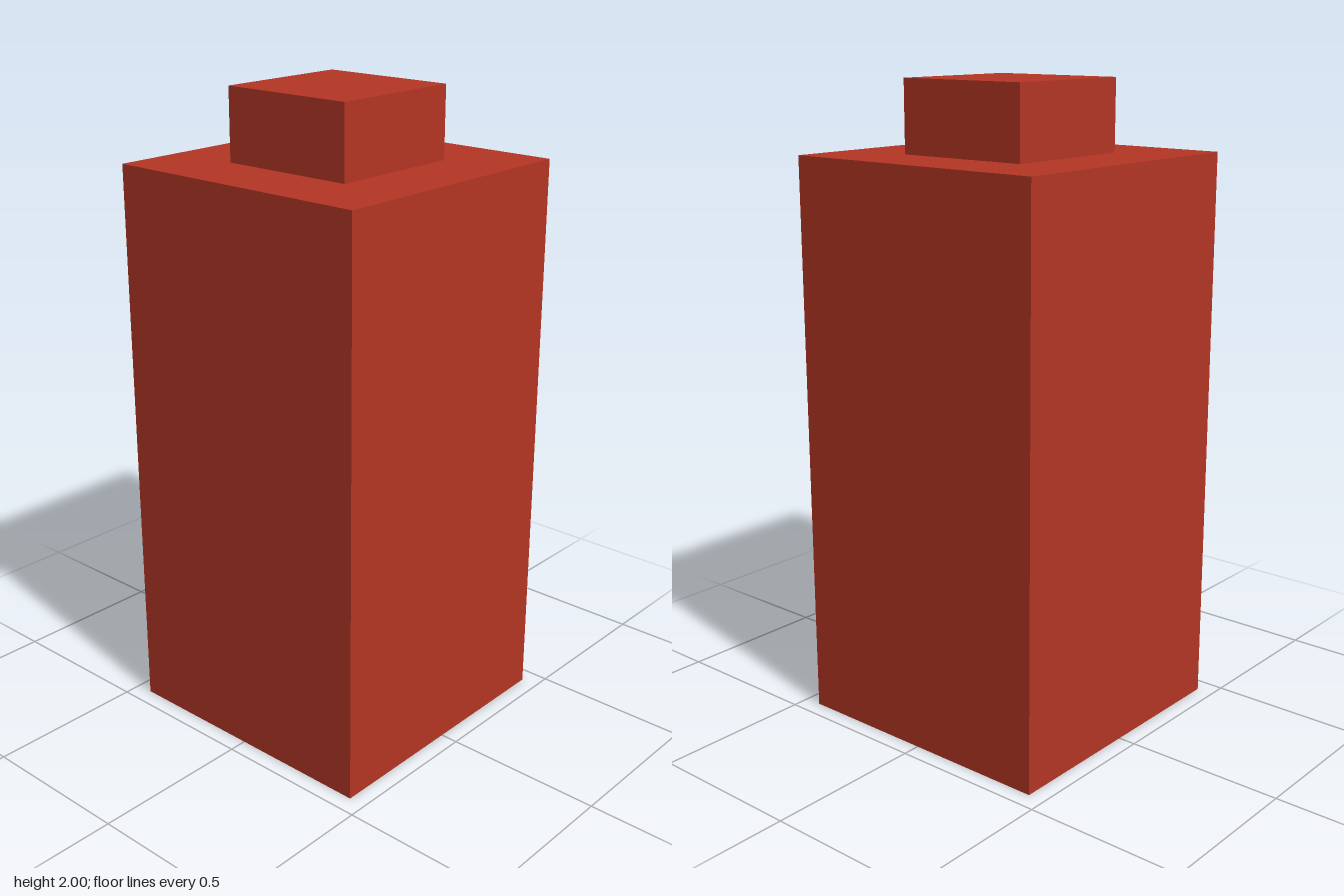
import * as THREE from 'three';

export function createModel() {
  const model = new THREE.Group();
  const red = new THREE.MeshStandardMaterial({ color: 0xb43624 });

  // A square block standing on height y
  const addBlock = (name, width, height, y) => {
    const block = new THREE.Mesh(new THREE.BoxGeometry(width, height, width), red);
    block.name = name;
    block.position.y = y + height / 2;
    model.add(block);
  };

  const unit = 2 / 9;
  addBlock('body', 4 * unit, 8 * unit, 0);
  addBlock('cap', 2 * unit, unit, 8 * unit);

  return model;
}
